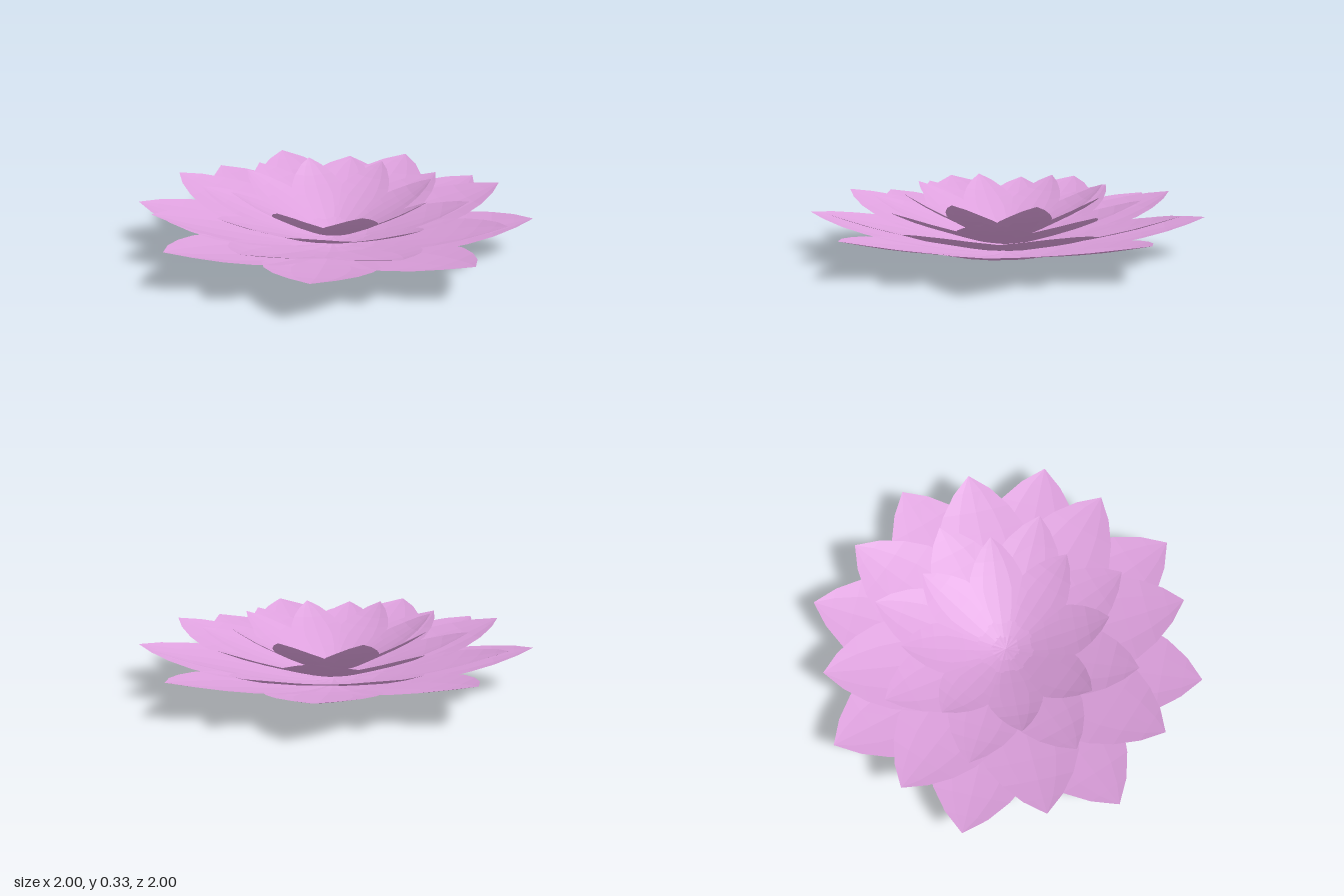
import * as THREE from 'three';

// Petal outline per unit length: [distance along, half width, rise along the midline]
const PROFILE = [
  [0, 0.004, 0], [0.12, 0.08, 0.04], [0.25, 0.16, 0.13], [0.4, 0.24, 0.28], [0.55, 0.28, 0.44],
  [0.68, 0.25, 0.58], [0.8, 0.19, 0.72], [0.91, 0.105, 0.87], [1, 0, 1],
];
const COLUMNS = [-1, -0.5, 0, 0.5, 1];

// A cupped, pointed petal growing from the origin towards +z
function petalGeometry(length, rise, cup) {
  const positions = [], index = [], n = COLUMNS.length;
  PROFILE.forEach(([t, w, h], row) => {
    for (const u of COLUMNS) {
      positions.push(u * w * length, h * rise + cup * u * u * (w / 0.28), t * length);
    }
    if (row === 0) return;
    for (let c = 0; c < n - 1; c++) {
      const a = (row - 1) * n + c, b = a + n;
      index.push(a, b, a + 1);
      if (row < PROFILE.length - 1) index.push(b, b + 1, a + 1);
    }
  });
  const geometry = new THREE.BufferGeometry();
  geometry.setAttribute('position', new THREE.Float32BufferAttribute(positions, 3));
  geometry.setIndex(index);
  geometry.computeVertexNormals();
  return geometry;
}

export function createModel() {
  const flower = new THREE.Group();
  flower.name = 'lotusFlower';
  const material = new THREE.MeshStandardMaterial({
    color: 0xdda0dd, flatShading: true, side: THREE.DoubleSide,
  });

  // Four rings of eight petals, shorter and steeper towards the middle
  const rings = [
    { name: 'outerPetals', length: 1, base: 0, tip: 0.195, cup: 0.025, turn: 0 },
    { name: 'secondPetals', length: 0.92, base: 0.025, tip: 0.26, cup: 0.025, turn: 20.8 },
    { name: 'thirdPetals', length: 0.68, base: 0.05, tip: 0.28, cup: 0.02, turn: 3 },
    { name: 'innerPetals', length: 0.52, base: 0.07, tip: 0.325, cup: 0.018, turn: 24.5 },
  ];
  for (const { name, length, base, tip, cup, turn } of rings) {
    const ring = new THREE.Group();
    ring.name = name;
    ring.position.y = base;
    const geometry = petalGeometry(length, tip - base, cup);
    for (let i = 0; i < 8; i++) {
      const petal = new THREE.Mesh(geometry, material);
      petal.name = 'petal';
      petal.rotation.y = -THREE.MathUtils.degToRad(turn + i * 45);
      ring.add(petal);
    }
    flower.add(ring);
  }

  // The bloom leans very slightly to one side
  flower.rotation.z = -0.012;
  const model = new THREE.Group();
  model.name = 'lotus';
  model.add(flower);
  return model;
}
